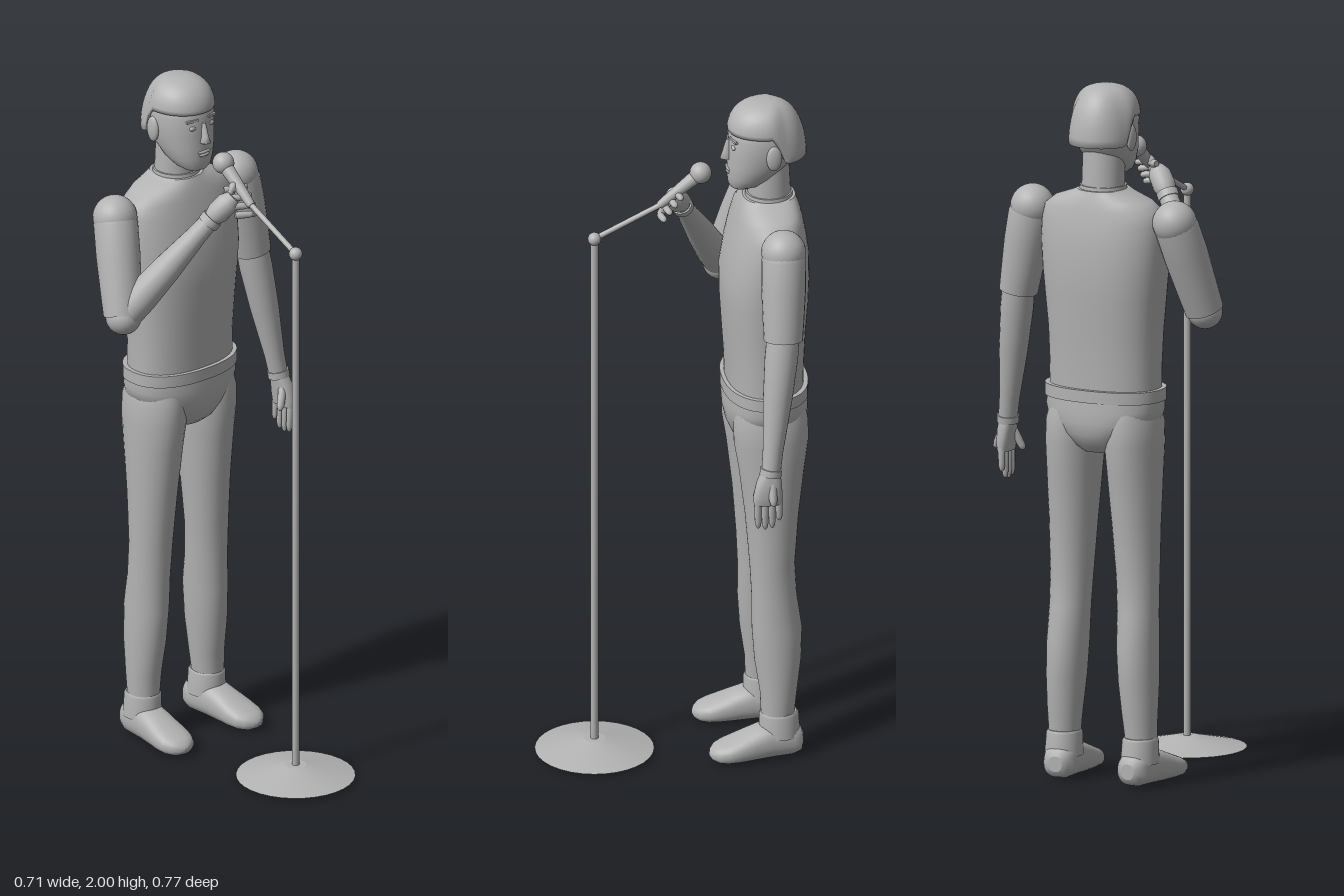
import * as THREE from 'three';

const CX = -0.033; // centre line of the body

export function createModel() {
  const root = new THREE.Group();
  root.name = 'singerWithMicrophone';
  const grey = new THREE.MeshStandardMaterial({ color: 0xb3b3b3 });
  grey.name = 'plain grey';

  const add = (name, geo, parent = root) => {
    const mesh = new THREE.Mesh(geo, grey);
    mesh.name = name;
    parent.add(mesh);
    return mesh;
  };
  const group = (name) => {
    const g = new THREE.Group();
    g.name = name;
    root.add(g);
    return g;
  };

  // Closed skin through stacked rings [y, cx, cz, rx, rz]; p > 2 squares the rings off
  const loft = (rings, p = 2, n = 32) => {
    const pos = [], idx = [];
    const ring = ([y, cx, cz, rx, rz]) => {
      for (let i = 0; i < n; i++) {
        const a = (i / n) * Math.PI * 2, c = Math.cos(a), s = Math.sin(a);
        pos.push(cx + rx * Math.sign(c) * Math.abs(c) ** (2 / p), y,
          cz + rz * Math.sign(s) * Math.abs(s) ** (2 / p));
      }
    };
    rings.forEach(ring);
    for (let k = 0; k < rings.length - 1; k++)
      for (let i = 0; i < n; i++) {
        const a = k * n + i, b = k * n + (i + 1) % n;
        idx.push(b, a, a + n, b, a + n, b + n);
      }
    // end caps with their own vertices keep a sharp rim
    [rings[0], rings[rings.length - 1]].forEach((r, top) => {
      const base = pos.length / 3;
      ring(r);
      pos.push(r[1], r[0], r[2]);
      for (let i = 0; i < n; i++) {
        const a = base + i, b = base + (i + 1) % n;
        idx.push(base + n, top ? b : a, top ? a : b);
      }
    });
    const g = new THREE.BufferGeometry();
    g.setAttribute('position', new THREE.Float32BufferAttribute(pos, 3));
    g.setIndex(idx);
    g.computeVertexNormals();
    return g;
  };

  // Round limb from a to b; profile is [fraction along, radius]
  const limb = (a, b, profile, sides = 24) => {
    const A = new THREE.Vector3(...a), d = new THREE.Vector3(...b).sub(A), len = d.length();
    const rings = profile.map(([t, r]) => [t * len, 0, 0, r, r]);
    const q = new THREE.Quaternion().setFromUnitVectors(new THREE.Vector3(0, 1, 0), d.normalize());
    return loft(rings, 2, sides).applyQuaternion(q).translate(A.x, A.y, A.z);
  };
  const ball = (c, rx, ry = rx, rz = rx) =>
    new THREE.SphereGeometry(1, 24, 16).scale(rx, ry, rz).translate(...c);
  const finger = (a, b, r) =>
    limb(a, b, [[0, r * 0.8], [0.15, r], [0.8, r * 0.9], [0.95, r * 0.6], [1, r * 0.2]], 10);

  // Torso, belt and briefs
  add('shirt', loft([
    [1.12, CX, -0.263, 0.165, 0.107], [1.2, CX, -0.263, 0.165, 0.109],
    [1.3, CX, -0.262, 0.169, 0.115], [1.4, CX, -0.263, 0.178, 0.122],
    [1.47, CX, -0.264, 0.185, 0.123], [1.55, CX, -0.27, 0.189, 0.115],
    [1.61, CX, -0.273, 0.186, 0.103], [1.65, CX, -0.275, 0.177, 0.093],
    [1.675, CX, -0.276, 0.145, 0.086], [1.695, CX, -0.277, 0.09, 0.078],
    [1.705, CX, -0.278, 0.07, 0.074]], 2.3, 48));
  add('collar', limb([CX, 1.68, -0.278], [CX, 1.715, -0.278], [[0, 0.07], [1, 0.066]], 32));
  add('belt', loft([[1.105, CX, -0.264, 0.178, 0.12], [1.14, CX, -0.264, 0.178, 0.12]], 2.3, 48));
  add('briefs', loft([
    [0.955, CX, -0.265, 0.06, 0.07], [0.975, CX, -0.266, 0.085, 0.096],
    [1.01, CX, -0.267, 0.13, 0.112], [1.045, CX, -0.266, 0.164, 0.118],
    [1.08, CX, -0.264, 0.174, 0.118], [1.12, CX, -0.264, 0.172, 0.115]], 2.3, 48));

  // Head
  add('neck', limb([CX, 1.67, -0.28], [CX, 1.83, -0.275], [[0, 0.062], [1, 0.059]], 32));
  const head = group('head');
  add('face', loft([
    [1.74, CX, -0.2, 0.035, 0.032], [1.75, CX, -0.21, 0.05, 0.048],
    [1.775, CX, -0.228, 0.066, 0.069], [1.81, CX, -0.245, 0.079, 0.086],
    [1.85, CX, -0.26, 0.086, 0.098], [1.9, CX, -0.264, 0.09, 0.1],
    [1.94, CX, -0.265, 0.078, 0.088], [1.96, CX, -0.265, 0.05, 0.06]], 2.15, 40), head);
  // Hair cap: the rim drops from the forehead to the nape
  const hairRings = [[0, CX, -0.27, 0.085, 0.1]];
  for (let k = 0; k <= 12; k++) {
    const f = (k / 12) * Math.PI / 2, r = Math.max(Math.cos(f), 0.0001) ** 0.75;
    hairRings.push([Math.sin(f), CX, -0.272, 0.096 * r, 0.112 * r]);
  }
  const hair = loft(hairRings, 2.1, 40), hp = hair.attributes.position;
  for (let i = 0; i < hp.count; i++) {
    const drop = THREE.MathUtils.smoothstep(-hp.getZ(i), 0.275, 0.315);
    const rim = 1.915 - 0.08 * drop;
    hp.setY(i, rim + (2 - rim) * hp.getY(i));
  }
  hair.computeVertexNormals();
  add('hair', hair, head);
  add('nose', loft([
    [1.822, CX, -0.162, 0.008, 0.01], [1.828, CX, -0.158, 0.016, 0.02],
    [1.845, CX, -0.16, 0.009, 0.016], [1.885, CX, -0.166, 0.006, 0.01]], 2, 12), head);
  add('upperLip', ball([CX, 1.797, -0.161], 0.024, 0.005, 0.006), head);
  add('lowerLip', ball([CX, 1.788, -0.161], 0.02, 0.005, 0.006), head);
  for (const s of [-1, 1]) {
    add('eye', ball([CX + s * 0.034, 1.873, -0.171], 0.012, 0.007, 0.006), head);
    add('eyebrow', new THREE.BoxGeometry(0.036, 0.007, 0.009)
      .rotateZ(-s * 0.08).rotateY(s * 0.25).translate(CX + s * 0.036, 1.896, -0.171), head);
    add('ear', ball([CX + s * 0.089, 1.855, -0.277], 0.011, 0.038, 0.022).rotateX(0), head);
  }

  // Legs and shoes
  for (const s of [-1, 1]) {
    const leg = group(s > 0 ? 'leftLeg' : 'rightLeg');
    const x = (d) => CX + s * d;
    add('trouserLeg', loft([
      [0.12, x(0.122), -0.28, 0.044, 0.046], [0.2, x(0.119), -0.283, 0.05, 0.052],
      [0.3, x(0.115), -0.282, 0.056, 0.066], [0.4, x(0.111), -0.28, 0.058, 0.071],
      [0.5, x(0.108), -0.273, 0.058, 0.064], [0.6, x(0.105), -0.268, 0.061, 0.064],
      [0.75, x(0.1), -0.268, 0.068, 0.076], [0.9, x(0.096), -0.268, 0.076, 0.094],
      [0.98, x(0.094), -0.267, 0.079, 0.106], [1.04, x(0.093), -0.266, 0.078, 0.106],
      [1.08, x(0.09), -0.265, 0.07, 0.1]]), leg);
    add('ankleCuff', loft([
      [0.07, x(0.121), -0.286, 0.054, 0.058], [0.135, x(0.121), -0.284, 0.05, 0.056],
      [0.142, x(0.121), -0.284, 0.045, 0.05]]), leg);
    // shoe rings run from heel to toe
    const shoe = loft([
      [-0.068, 0, -0.052, 0.02, 0.022], [-0.06, 0, -0.054, 0.038, 0.04],
      [-0.035, 0, -0.056, 0.048, 0.049], [0.03, 0, -0.058, 0.05, 0.053],
      [0.075, 0, -0.049, 0.052, 0.046], [0.12, 0, -0.04, 0.056, 0.037],
      [0.155, 0, -0.034, 0.054, 0.03], [0.18, 0, -0.031, 0.042, 0.024],
      [0.195, 0, -0.029, 0.022, 0.014], [0.2, 0, -0.028, 0.006, 0.005]], 2.4)
      .rotateX(Math.PI / 2).rotateY(s * 0.08).translate(x(0.121), 0, -0.283);
    add('shoe', shoe, leg);
  }

  // Left arm, hanging
  const sleeve = [[0, 0.056], [0.08, 0.063], [0.4, 0.063], [0.8, 0.058], [1, 0.055]];
  const forearm = [[0, 0.046], [0.2, 0.047], [0.5, 0.041], [0.85, 0.029], [1, 0.027]];
  const armL = group('leftArm');
  add('shoulder', ball([0.193, 1.63, -0.278], 0.063), armL);
  add('sleeve', limb([0.196, 1.63, -0.278], [0.243, 1.38, -0.268], sleeve), armL);
  add('forearm', limb([0.24, 1.41, -0.27], [0.302, 1.0, -0.222], forearm), armL);
  add('wristCuff', limb([0.301, 1.01, -0.223], [0.303, 0.99, -0.22], [[0, 0.031], [1, 0.031]]), armL);
  add('palm', loft([
    [0.905, 0.312, -0.211, 0.016, 0.04], [0.93, 0.312, -0.211, 0.021, 0.042],
    [0.97, 0.308, -0.215, 0.023, 0.036], [1.0, 0.303, -0.22, 0.022, 0.026]], 2.6, 20), armL);
  [0.83, 0.825, 0.828, 0.85].forEach((tip, i) => {
    const z = -0.182 - i * 0.02;
    add('finger', finger([0.312, 0.925, z], [0.309, tip, z - 0.002], 0.0105), armL);
  });
  add('thumb', finger([0.3, 0.97, -0.2], [0.272, 0.905, -0.182], 0.012), armL);
  add('handEdge', finger([0.312, 0.985, -0.222], [0.342, 0.91, -0.222], 0.013), armL);

  // Right arm, raised to the microphone
  const armR = group('rightArm');
  add('shoulder', ball([-0.262, 1.625, -0.281], 0.063), armR);
  add('sleeve', limb([-0.262, 1.63, -0.281], [-0.31, 1.365, -0.195], sleeve), armR);
  add('elbow', ball([-0.31, 1.362, -0.192], 0.051), armR);
  add('forearm', limb([-0.31, 1.362, -0.192], [-0.112, 1.65, -0.045], forearm), armR);
  add('wristCuff', limb([-0.12, 1.638, -0.05], [-0.108, 1.655, -0.042], [[0, 0.031], [1, 0.031]]), armR);
  add('palm', limb([-0.112, 1.65, -0.045], [-0.058, 1.715, -0.01],
    [[0, 0.024], [0.3, 0.033], [0.75, 0.032], [1, 0.02]], 16), armR);
  for (let i = 0; i < 4; i++) {
    const y = 1.668 + i * 0.021, z = 0.03 - i * 0.016;
    add('finger', finger([-0.072, y, z - 0.018], [-0.025, y, z + 0.006], 0.011), armR);
    add('fingertip', finger([-0.03, y, z + 0.005], [0.004, y - 0.006, z - 0.006], 0.01), armR);
  }
  add('thumb', finger([-0.075, 1.705, -0.025], [-0.04, 1.75, -0.025], 0.012), armR);

  // Microphone and stand
  const X = -0.031;
  const mic = group('microphone');
  add('micHead', ball([X, 1.787, -0.083], 0.031), mic);
  add('micBody', limb([X, 1.695, 0.035], [X, 1.778, -0.072], [[0, 0.011], [0.1, 0.013], [0.95, 0.02], [1, 0.02]]), mic);
  const stand = group('microphoneStand');
  add('boom', limb([X, 1.607, 0.22], [X, 1.705, 0.015], [[0, 0.008], [1, 0.008]], 16), stand);
  add('joint', ball([X, 1.607, 0.22], 0.019), stand);
  add('pole', limb([X, 0.03, 0.22], [X, 1.607, 0.22], [[0, 0.011], [1, 0.011]], 16), stand);
  add('base', new THREE.CylinderGeometry(0.03, 0.168, 0.032, 32).translate(X, 0.027, 0.22), stand);

  return root;
}
